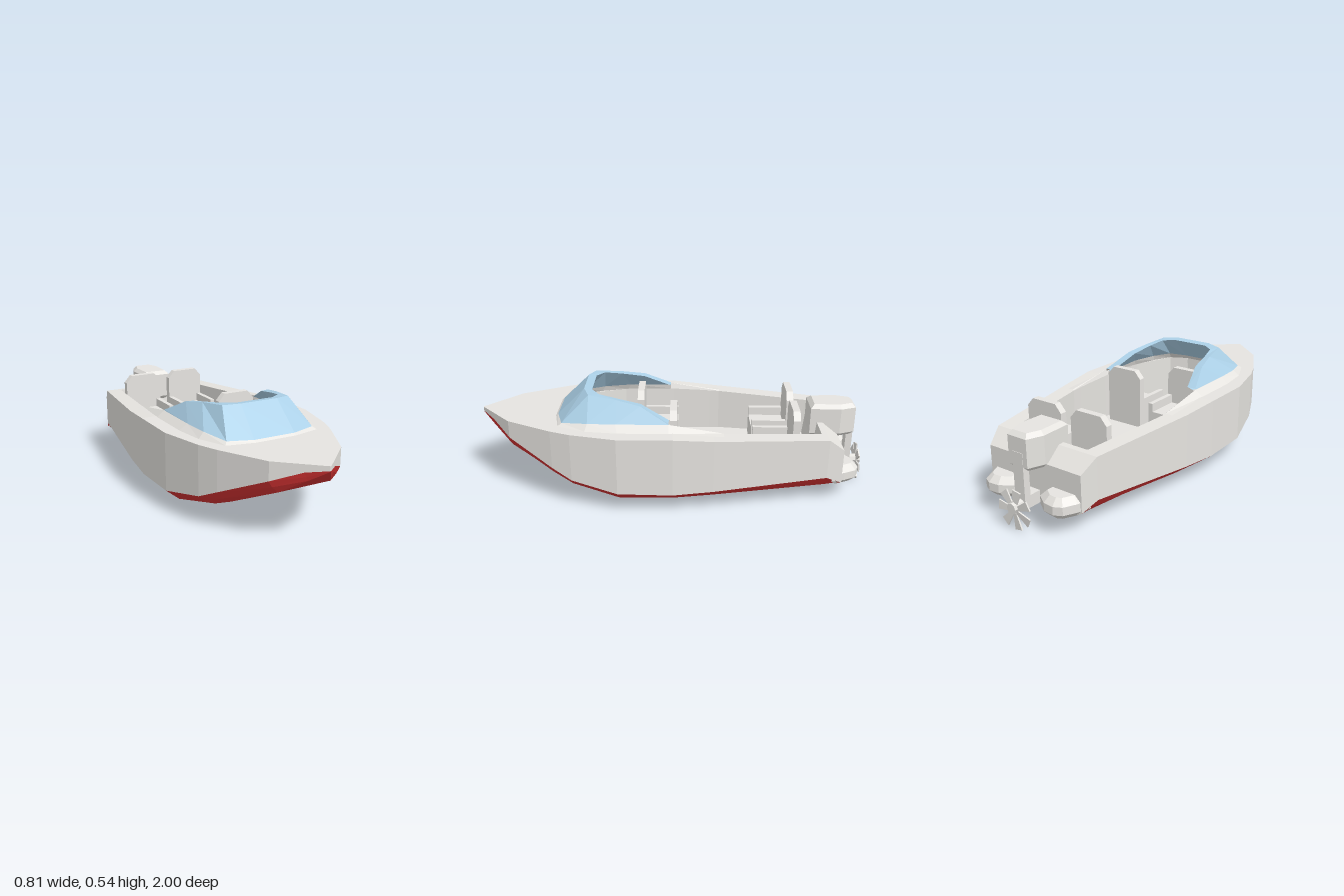
import * as THREE from 'three';

const mat = (name, color) => new THREE.MeshStandardMaterial({ name, color, flatShading: true, side: THREE.DoubleSide });

export function createModel() {
  const grey = mat('hull grey', 0xe6e4e0);
  const red = mat('bottom red', 0xd63333);
  const blue = mat('glass blue', 0xadd2e9);
  const model = new THREE.Group();
  model.name = 'motorboat';

  const add = (name, geometry, material, parent = model) => {
    const mesh = new THREE.Mesh(geometry, material);
    mesh.name = name;
    parent.add(mesh);
    return mesh;
  };
  const box = (name, x0, x1, y0, y1, z0, z1, parent) => {
    const m = add(name, new THREE.BoxGeometry(x1 - x0, y1 - y0, z1 - z0), grey, parent);
    m.position.set((x0 + x1) / 2, (y0 + y1) / 2, (z0 + z1) / 2);
    return m;
  };
  // Skin a surface over rows of points
  const loft = (rows) => {
    const pos = [];
    for (let i = 0; i + 1 < rows.length; i++) {
      for (let j = 0; j + 1 < rows[i].length; j++) {
        const a = rows[i][j], b = rows[i][j + 1], c = rows[i + 1][j + 1], d = rows[i + 1][j];
        pos.push(...a, ...b, ...c, ...a, ...c, ...d);
      }
    }
    const g = new THREE.BufferGeometry();
    g.setAttribute('position', new THREE.Float32BufferAttribute(pos, 3));
    g.computeVertexNormals();
    return g;
  };
  const flip = ([x, y, z]) => [-x, y, z];
  const mirrored = (half) => [...half, ...half.slice().reverse().map(flip)];
  const shapeOf = (pts) => new THREE.Shape(pts.map(([x, y]) => new THREE.Vector2(x, y)));
  // Plan outline in x and z, extruded upward with a chamfer
  const planSolid = (pts, y0, y1, bevel) => {
    const g = new THREE.ExtrudeGeometry(shapeOf(pts.map(([x, z]) => [x, -z])), {
      depth: y1 - y0 - 2 * bevel, bevelThickness: bevel, bevelSize: bevel, bevelOffset: -bevel, bevelSegments: 1,
    });
    return g.rotateX(-Math.PI / 2).translate(0, y0 + bevel, 0);
  };

  // Hull stations: z, half width, deck y, chine y, bilge x, bilge y, keel x, keel y
  const stations = [
    [1.0, 0.003, 0.4, 0.378, 0.002, 0.376, 0.001, 0.374],
    [0.93, 0.08, 0.4, 0.363, 0.07, 0.34, 0.06, 0.322],
    [0.83, 0.19, 0.4, 0.31, 0.172, 0.28, 0.14, 0.25],
    [0.6, 0.31, 0.4, 0.2, 0.28, 0.165, 0.235, 0.14],
    [0.5, 0.35, 0.4, 0.152, 0.31, 0.115, 0.262, 0.098],
    [0.27, 0.405, 0.4, 0.107, 0.335, 0.05, 0.288, 0.042],
    [0, 0.405, 0.4, 0.102, 0.33, 0.047, 0.29, 0.037],
    [-0.2, 0.385, 0.385, 0.113, 0.318, 0.06, 0.28, 0.048],
    [-0.77, 0.3, 0.355, 0.15, 0.27, 0.11, 0.25, 0.088],
    [-0.85, 0.275, 0.29, 0.11, 0.25, 0.097, 0.23, 0.09],
  ];
  add('hullBottom', loft(stations.map(([z, w, , c, bx, by, kx, ky]) =>
    mirrored([[w, c, z], [bx, by, z], [kx, ky, z]]))), red);
  for (const s of [1, -1]) {
    add(s > 0 ? 'leftHullSide' : 'rightHullSide',
      loft(stations.map(([z, w, t, c]) => [[s * w, c, z], [s * w, t, z]])), grey);
  }
  const [tz, tw, tt, tc, tbx, tby, tkx, tky] = stations[stations.length - 1];
  const transom = [[tkx, tky, tz], [tbx, tby, tz], [tw, tc, tz], [tw, tt, tz]];
  add('transom', loft([transom, transom.map(flip)]), grey);
  const [bz, bw, bt, bc] = stations[0];
  add('stem', loft([[[bw, bt, bz], [bw, bc, bz]], [[-bw, bt, bz], [-bw, bc, bz]]]), grey);

  // Deck with a sunken cockpit: z, inner half width, open
  const floor = 0.16;
  const edge = (z) => {
    const i = Math.max(1, stations.findIndex((s) => s[0] <= z));
    const a = stations[i - 1], b = stations[i], k = (a[0] - z) / (a[0] - b[0]);
    return [1, 2].map((n) => a[n] + (b[n] - a[n]) * k);
  };
  const deckRows = [
    [1, 0.002, 0], [0.93, 0.04, 0], [0.83, 0.08, 0], [0.6, 0.1, 0], [0.55, 0.1, 0], [0.545, 0.1, 1], [0.5, 0.19, 1],
    [0.27, 0.27, 1], [0, 0.285, 1], [-0.2, 0.29, 1], [-0.25, 0.29, 1], [-0.72, 0.225, 1],
    [-0.74, 0.222, 0], [-0.77, 0.22, 0], [-0.85, 0.2, 0],
  ].map(([z, wi, open]) => {
    const [w, t] = edge(z);
    return mirrored([[w, t, z], [wi, t, z], [wi, open ? floor : t, z]]);
  });
  add('deckAndCockpit', loft(deckRows), grey);

  // Wrap-around windshield: base, shoulder, outer rim, inner rim, inner middle, inner base
  const half = [
    [[0.33, 0.4, 0.02], [0.29, 0.43, 0.02], [0.288, 0.434, 0.02], [0.24, 0.434, 0.02], [0.275, 0.425, 0.02], [0.28, 0.4, 0.02]],
    [[0.33, 0.4, 0.27], [0.29, 0.43, 0.28], [0.238, 0.505, 0.16], [0.198, 0.502, 0.16], [0.26, 0.43, 0.24], [0.27, 0.4, 0.26]],
    [[0.31, 0.4, 0.43], [0.28, 0.428, 0.42], [0.21, 0.526, 0.28], [0.18, 0.523, 0.28], [0.23, 0.43, 0.38], [0.235, 0.4, 0.4]],
    [[0.25, 0.4, 0.57], [0.235, 0.413, 0.553], [0.182, 0.54, 0.42], [0.158, 0.537, 0.37], [0.18, 0.43, 0.48], [0.19, 0.4, 0.5]],
    [[0.11, 0.4, 0.6], [0.11, 0.41, 0.588], [0.1, 0.545, 0.45], [0.1, 0.54, 0.41], [0.1, 0.42, 0.53], [0.1, 0.4, 0.545]],
  ];
  const ring = [...half, ...half.slice().reverse().map((row) => row.map(flip))];
  add('windshield', loft(ring.map((r) => r.slice(1, 5))), blue);
  add('outerCoaming', loft(ring.map((r) => r.slice(0, 2))), grey);
  add('innerCoaming', loft(ring.map((r) => r.slice(4, 6))), grey);
  for (const s of [1, -1]) {
    const tail = [
      [[0.33, 0.4, 0.02], [0.29, 0.43, 0.02], [0.28, 0.4, 0.02]],
      [[0.33, 0.385, -0.25], [0.295, 0.388, -0.25], [0.29, 0.384, -0.25]],
    ];
    add('coamingTail', loft(s > 0 ? tail : tail.map((r) => r.map(flip))), grey);
  }

  // Seats, with the front right one turned to face aft
  const seat = (name, x, z, turn) => {
    const g = new THREE.Group();
    g.name = name;
    const back = shapeOf([[-0.105, floor], [0.105, floor], [0.105, 0.43], [0.07, 0.47], [-0.07, 0.47], [-0.105, 0.43]]);
    add('backrest', new THREE.ExtrudeGeometry(back, { depth: 0.035, bevelEnabled: false }), grey, g);
    box('cushion', -0.105, 0.105, floor, 0.27, 0.035, 0.215, g);
    for (const s of [1, -1]) {
      const arm = box('armrest', -0.0125, 0.0125, 0.27, 0.315, 0.035, 0.215, g);
      arm.position.x = s * 0.0925;
    }
    g.position.set(x, 0, z);
    g.rotation.y = turn;
    model.add(g);
  };
  seat('frontLeftSeat', 0.135, -0.02, 0);
  seat('frontRightSeat', -0.135, 0.19, Math.PI);
  seat('rearLeftSeat', 0.135, -0.63, 0);
  seat('rearRightSeat', -0.135, -0.63, 0);

  // Stern platforms on both sides of the motor
  for (const s of [1, -1]) {
    const lobe = [[0.08, -0.8], [0.285, -0.8], [0.265, -0.865], [0.235, -0.925], [0.195, -0.945], [0.14, -0.94], [0.08, -0.9]];
    add(s > 0 ? 'leftSternPlatform' : 'rightSternPlatform',
      planSolid(lobe.map(([x, z]) => [s * x, z]), 0.09, 0.19, 0.03), grey);
  }

  // Outboard motor
  const motor = new THREE.Group();
  motor.name = 'outboardMotor';
  model.add(motor);
  const cowl = [[0.08, -0.705], [0.085, -0.86], [0.055, -0.94], [-0.055, -0.94], [-0.085, -0.86], [-0.08, -0.705]];
  add('cowl', planSolid(cowl, 0.275, 0.45, 0.02), grey, motor);
  box('leg', -0.03, 0.03, 0.09, 0.36, -0.942, -0.908, motor);
  box('gearcase', -0.03, 0.03, 0.09, 0.15, -0.91, -0.84, motor);

  // Propeller
  const propeller = new THREE.Group();
  propeller.name = 'propeller';
  propeller.position.set(0, 0.1, -0.98);
  motor.add(propeller);
  const hub = add('hub', new THREE.CylinderGeometry(0.026, 0.026, 0.06, 8), grey, propeller);
  hub.rotation.x = Math.PI / 2;
  hub.position.set(0, 0.012, 0.01);
  const blade = shapeOf([[-0.009, 0.015], [0.009, 0.015], [0.023, 0.095], [-0.023, 0.095]]);
  const bladeGeometry = new THREE.ExtrudeGeometry(blade, { depth: 0.007, bevelEnabled: false })
    .translate(0, 0, -0.0035).rotateY(0.08);
  for (let i = 0; i < 7; i++) {
    add('blade', bladeGeometry, grey, propeller).rotation.z = Math.PI - 0.23 + (i * Math.PI * 2) / 7;
  }
  return model;
}
